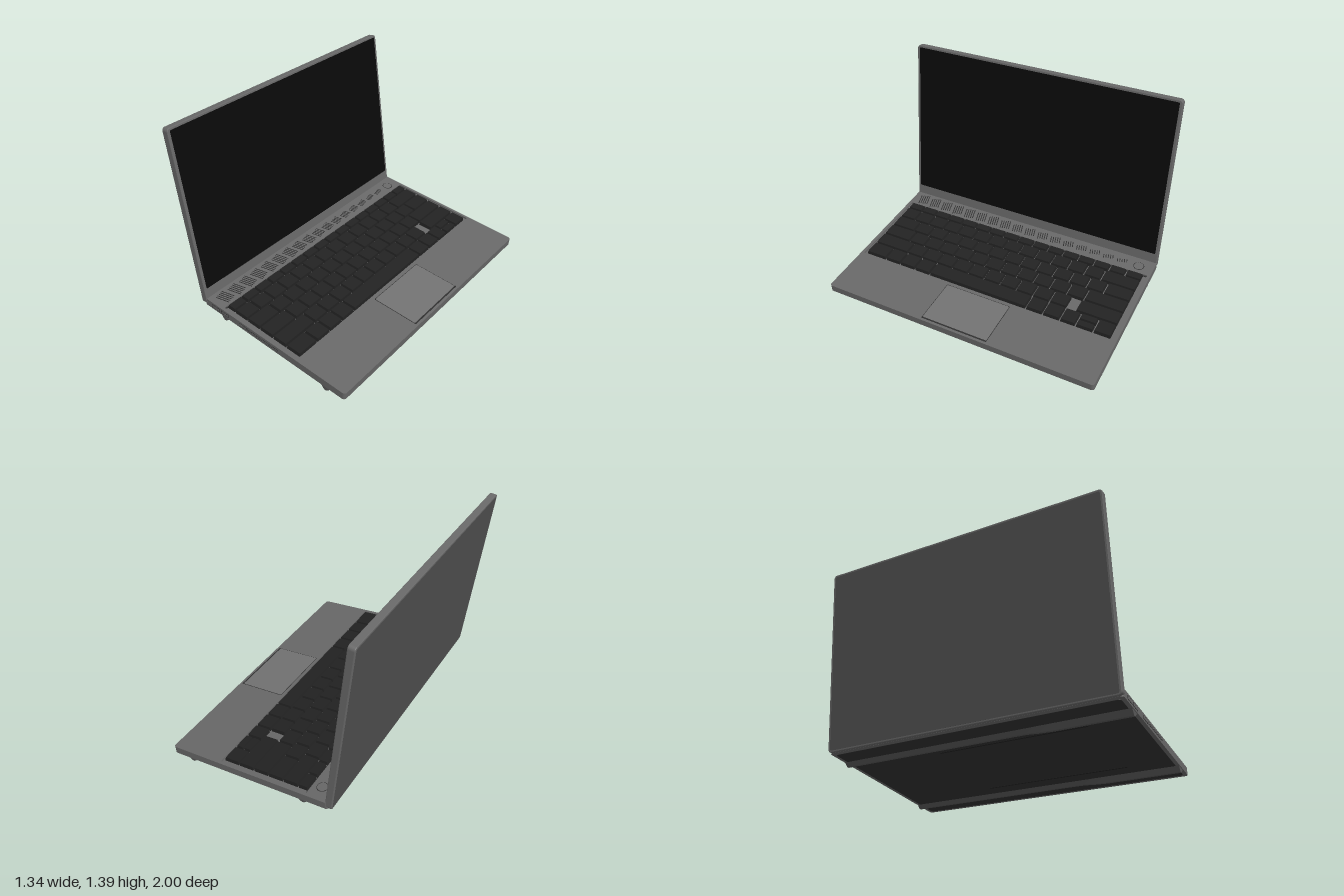
import * as THREE from 'three';

const mat = (color, extra = {}) => new THREE.MeshStandardMaterial({ color, ...extra });
const bodyMat = mat(0x686868), padMat = mat(0x727272), darkMat = mat(0x303030);
const keyMat = mat(0x222222, { flatShading: true }), glassMat = mat(0x0a0a0a);
const footMat = mat(0x585858, { flatShading: true });

function add(parent, name, geometry, material, x = 0, y = 0, z = 0) {
  const mesh = new THREE.Mesh(geometry, material);
  mesh.name = name;
  mesh.position.set(x, y, z);
  parent.add(mesh);
  return mesh;
}

// Rounded rectangle path in plan; y of the path is -z of the model
function roundedRect(path, x0, x1, z0, z1, r) {
  const a = -z1, b = -z0;
  path.moveTo(x0 + r, a);
  path.lineTo(x1 - r, a);
  path.absarc(x1 - r, a + r, r, -Math.PI / 2, 0);
  path.lineTo(x1, b - r);
  path.absarc(x1 - r, b - r, r, 0, Math.PI / 2);
  path.lineTo(x0 + r, b);
  path.absarc(x0 + r, b - r, r, Math.PI / 2, Math.PI);
  path.lineTo(x0, a + r);
  path.absarc(x0 + r, a + r, r, Math.PI, Math.PI * 1.5);
  return path;
}

// Flat slab from y0 to y1, with optional rectangular hole and edge bevel
function slab([x0, x1, z0, z1], r, y0, y1, hole, bevel = 0) {
  const shape = roundedRect(new THREE.Shape(), x0 + bevel, x1 - bevel, z0 + bevel, z1 - bevel, r);
  if (hole) shape.holes.push(roundedRect(new THREE.Path(), ...hole, 0.006));
  const g = new THREE.ExtrudeGeometry(shape, {
    depth: y1 - y0 - 2 * bevel, curveSegments: 6, bevelEnabled: bevel > 0,
    bevelThickness: bevel, bevelSize: bevel, bevelSegments: 2,
  });
  return g.rotateX(-Math.PI / 2).translate(0, y0 + bevel, 0);
}

// Key cap: a box whose top is drawn in
function keyCap(w, h, d) {
  const g = new THREE.BoxGeometry(w, h, d), p = g.attributes.position;
  for (let i = 0; i < p.count; i++) {
    if (p.getY(i) > 0) {
      p.setX(i, p.getX(i) - Math.sign(p.getX(i)) * 0.004);
      p.setZ(i, p.getZ(i) - Math.sign(p.getZ(i)) * 0.004);
    }
  }
  return g;
}

// Long wedge foot, shallower towards one end
function footBar(length) {
  const g = new THREE.BoxGeometry(0.084, 1, length, 1, 1, 24), p = g.attributes.position;
  for (let i = 0; i < p.count; i++) {
    if (p.getY(i) > 0) { p.setY(i, 0.002); continue; }
    const t = THREE.MathUtils.smoothstep(p.getZ(i), 0.3, 0.48);
    p.setY(i, -THREE.MathUtils.lerp(0.022, 0.033, t));
    p.setX(i, p.getX(i) * 0.2 - 0.002);
  }
  g.computeVertexNormals();
  return g;
}

function buildKeyboard(base) {
  const keyboard = new THREE.Group();
  keyboard.name = 'keyboard';
  base.add(keyboard);
  const key = (x0, x1, z0, z1) => add(keyboard, 'key',
    keyCap(x1 - x0 - 0.008, 0.025, z1 - z0 - 0.01), keyMat, (x0 + x1) / 2, 0.001, (z0 + z1) / 2);
  const n = (count, size = 1) => Array(count).fill(size);
  // Key widths per row, from the -z end; negative means an empty gap
  const rows = [
    [-0.345, -0.275, n(16)],
    [-0.275, -0.165, [2, ...n(13)]],
    [-0.165, -0.055, [1.5, ...n(12), 1.5]],
    [-0.055, 0.057, [2.25, ...n(11), 1.75]],
    [0.057, 0.169, [2.35, -0.5, ...n(10), 2.2]],
    [0.169, 0.285, [1, 0, 0.9, 1, 1, 6.1, 1, 1, 1, 1.35]],
  ];
  const zMin = -0.957, zMax = 0.945;
  for (const [x0, x1, widths] of rows) {
    // A width of 0 stands for one unit split into two half-depth keys
    const total = widths.reduce((s, w) => s + (w === 0 ? 1 : Math.abs(w)), 0);
    let z = zMin;
    for (const w of widths) {
      const z1 = z + (w === 0 ? 1 : Math.abs(w)) * (zMax - zMin) / total;
      const mid = (x0 + x1) / 2;
      if (w > 0) key(x0 - 0.09, x1 - 0.09, z, z1);
      if (w === 0) {
        key(x0 - 0.09, mid - 0.09, z, z1);
        key(mid - 0.09, x1 - 0.09, z, z1);
      }
      z = z1;
    }
  }
}

function buildBase() {
  const base = new THREE.Group();
  base.name = 'base';
  base.position.set(0.09, 0.127, 0);
  base.rotation.z = -0.099;
  const plan = [-0.6, 0.583, -1, 0.985];

  // Deck with keyboard well, and lower shell
  add(base, 'deck', slab(plan, 0.02, -0.012, 0, [-0.44, 0.205, -0.98, 0.962]), bodyMat);
  add(base, 'lowerShell', slab(plan, 0.02, -0.05, -0.012), bodyMat);
  add(base, 'bottomCover', slab([-0.57, 0.56, -0.975, 0.96], 0.02, -0.0515, -0.049), darkMat);
  add(base, 'wellBackEdge', new THREE.BoxGeometry(0.008, 0.004, 1.93), darkMat, -0.436, -0.011, -0.009);
  buildKeyboard(base);

  // Touchpad with a dark seam and the finger notch in front of it
  add(base, 'touchpadSeam', slab([0.226, 0.562, -0.254, 0.236], 0.008, -0.002, 0.0006), darkMat);
  add(base, 'touchpad', slab([0.23, 0.557, -0.25, 0.232], 0.008, -0.002, 0.0016), padMat);
  add(base, 'fingerNotch', new THREE.BoxGeometry(0.01, 0.004, 0.49), darkMat, 0.56, 0, -0.009);

  // Power button
  add(base, 'powerButtonSeam', new THREE.CylinderGeometry(0.038, 0.038, 0.002, 32), darkMat, -0.506, 0, -0.895);
  add(base, 'powerButton', new THREE.CylinderGeometry(0.034, 0.034, 0.004, 32), bodyMat, -0.506, 0, -0.895);

  // Slanted grille slots, longer towards +z
  const grille = new THREE.Group();
  grille.name = 'speakerGrille';
  base.add(grille);
  for (let i = 0; i < 17; i++) {
    const t = i / 16, length = THREE.MathUtils.lerp(0.03, 0.095, Math.min(1, t * 1.5));
    for (let j = -2; j <= 2; j++) {
      const slot = add(grille, 'grilleSlot', new THREE.BoxGeometry(length, 0.003, 0.006), darkMat,
        -0.51 + 0.004 * j, 0, -0.77 + 1.66 * t + j * 0.016);
      slot.rotation.y = 0.28;
    }
  }

  // Ports along the +z side: centre x, height, width
  for (const [x, h, w] of [[-0.5, 0.026, 0.07], [-0.415, 0.024, 0.07], [-0.247, 0.024, 0.07], [-0.075, 0.014, 0.25]]) {
    add(base, 'portRim', new THREE.BoxGeometry(w, h, 0.004), darkMat, x, -0.026, 0.984);
    add(base, 'port', new THREE.BoxGeometry(w - 0.008, h - 0.008, 0.006), bodyMat, x, -0.026, 0.984);
  }

  // Feet and underside vents
  for (const x of [0.435, -0.415]) {
    add(base, 'foot', footBar(1.975), footMat, x, -0.05, -0.0075);
  }
  for (const x of [0.3, -0.34]) {
    add(base, 'bottomVent', new THREE.BoxGeometry(0.012, 0.003, 1.0), keyMat, x, -0.0515, 0.175);
  }
  return base;
}

function buildLid() {
  // Local x runs up the lid, local -y faces the user
  const lid = new THREE.Group();
  lid.name = 'lid';
  lid.position.set(-0.49, 0.18, 0);
  lid.rotation.z = Math.PI / 2 + 0.11;
  add(lid, 'lidShell', slab([-0.04, 1.214, -1, 0.985], 0.018, 0, 0.047, null, 0.005), bodyMat);
  add(lid, 'lidBackPanel', slab([-0.028, 1.2, -0.985, 0.97], 0.015, 0.04, 0.0475), mat(0x505050));
  add(lid, 'screenGlass', slab([0.075, 1.198, -0.98, 0.965], 0.008, -0.0015, 0.01), glassMat);
  // Slight sideways lean of the lid
  for (const { geometry } of lid.children) {
    const p = geometry.attributes.position;
    for (let i = 0; i < p.count; i++) p.setZ(i, p.getZ(i) + 0.0025 + 0.0105 * p.getX(i));
  }
  return lid;
}

export function createModel() {
  const model = new THREE.Group();
  model.name = 'laptop';
  model.add(buildBase(), buildLid());
  return model;
}
